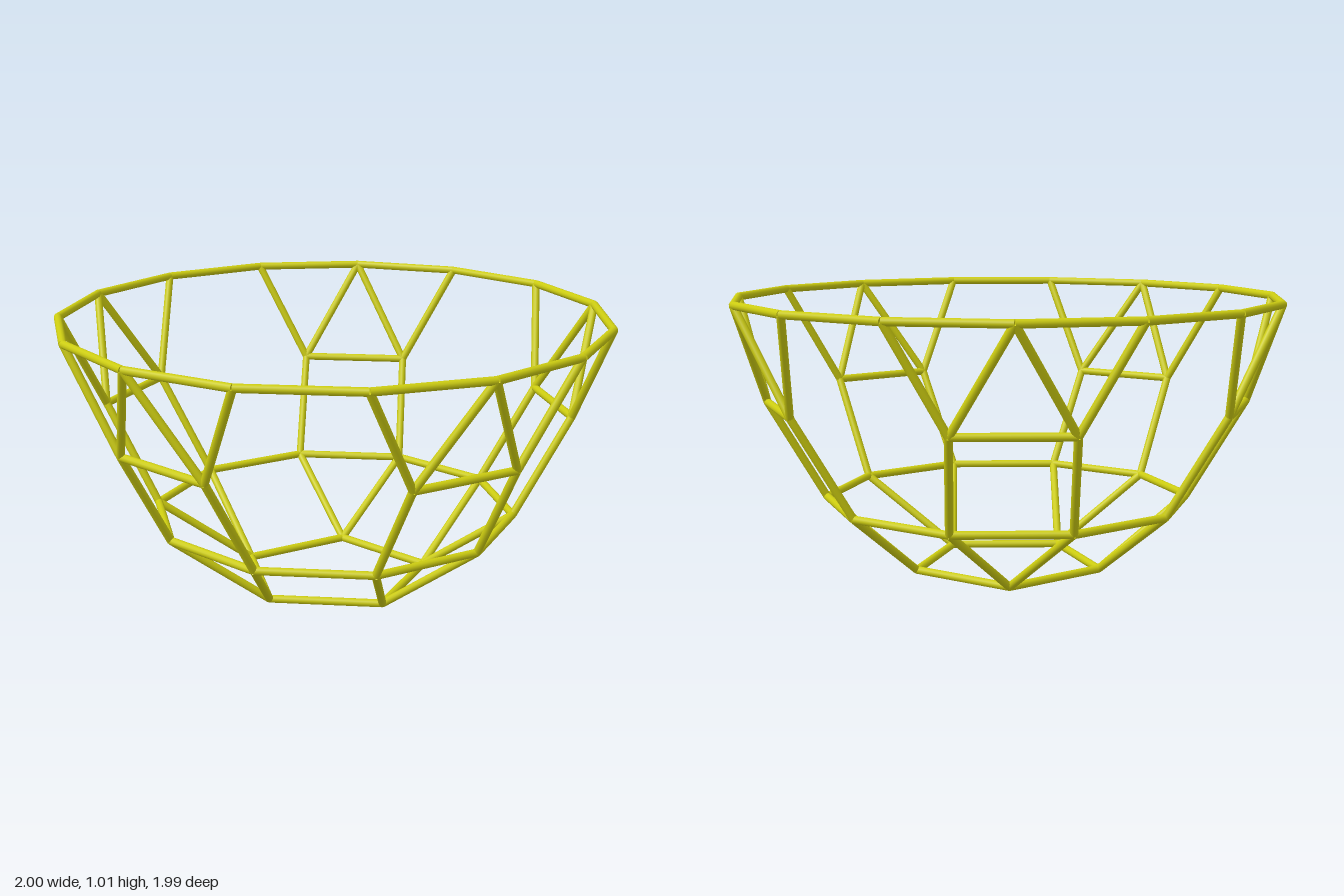
import * as THREE from 'three';

const ROD = 0.0145;
const CENTRE_Z = -0.011;
const UP = new THREE.Vector3(0, 1, 0);

// Point on a horizontal ring, angle in degrees measured from the front (+z)
function ringPoint(radius, y, degrees) {
  const a = THREE.MathUtils.degToRad(degrees);
  return new THREE.Vector3(radius * Math.sin(a), y, radius * Math.cos(a) + CENTRE_Z);
}

export function createModel() {
  const model = new THREE.Group();
  model.name = 'latticeBowl';
  const material = new THREE.MeshStandardMaterial({ color: 0xcccc11 });

  // The four levels of the bowl
  const base = (deg) => ringPoint(0.349, 0.0165, deg);
  const lower = (deg) => ringPoint(0.664, 0.27, deg);
  const upper = (deg) => ringPoint(0.868, 0.633, deg);
  const rim = (deg) => ringPoint(0.99, 1.0, deg);

  // Groups of rods, one per band
  const bands = {};
  for (const name of ['basePentagon', 'baseStruts', 'lowerRing', 'lowerStruts', 'upperBars', 'rimStruts', 'rim']) {
    bands[name] = new THREE.Group();
    bands[name].name = name;
    model.add(bands[name]);
  }

  // Straight round rod between two joints
  function rod(band, a, b) {
    const dir = b.clone().sub(a);
    const mesh = new THREE.Mesh(new THREE.CylinderGeometry(ROD, ROD, dir.length(), 12), material);
    mesh.name = 'rod';
    mesh.position.copy(a).add(b).multiplyScalar(0.5);
    mesh.quaternion.setFromUnitVectors(UP, dir.normalize());
    bands[band].add(mesh);
  }

  // Five identical sectors around the vertical axis
  for (let i = 0; i < 5; i++) {
    const t = i * 72;
    rod('basePentagon', base(t), base(t + 72));
    rod('lowerRing', lower(t - 18), lower(t + 18));
    rod('lowerRing', lower(t + 18), lower(t + 54));
    rod('upperBars', upper(t - 13.5), upper(t + 13.5));
    for (const s of [-1, 1]) {
      rod('baseStruts', base(t), lower(t + 18 * s));
      rod('lowerStruts', lower(t + 18 * s), upper(t + 13.5 * s));
      rod('rimStruts', upper(t + 13.5 * s), rim(t));
      rod('rimStruts', upper(t + 13.5 * s), rim(t + 24 * s));
    }
    for (let k = 0; k < 3; k++) rod('rim', rim(t + 24 * k), rim(t + 24 * (k + 1)));
  }

  return model;
}
